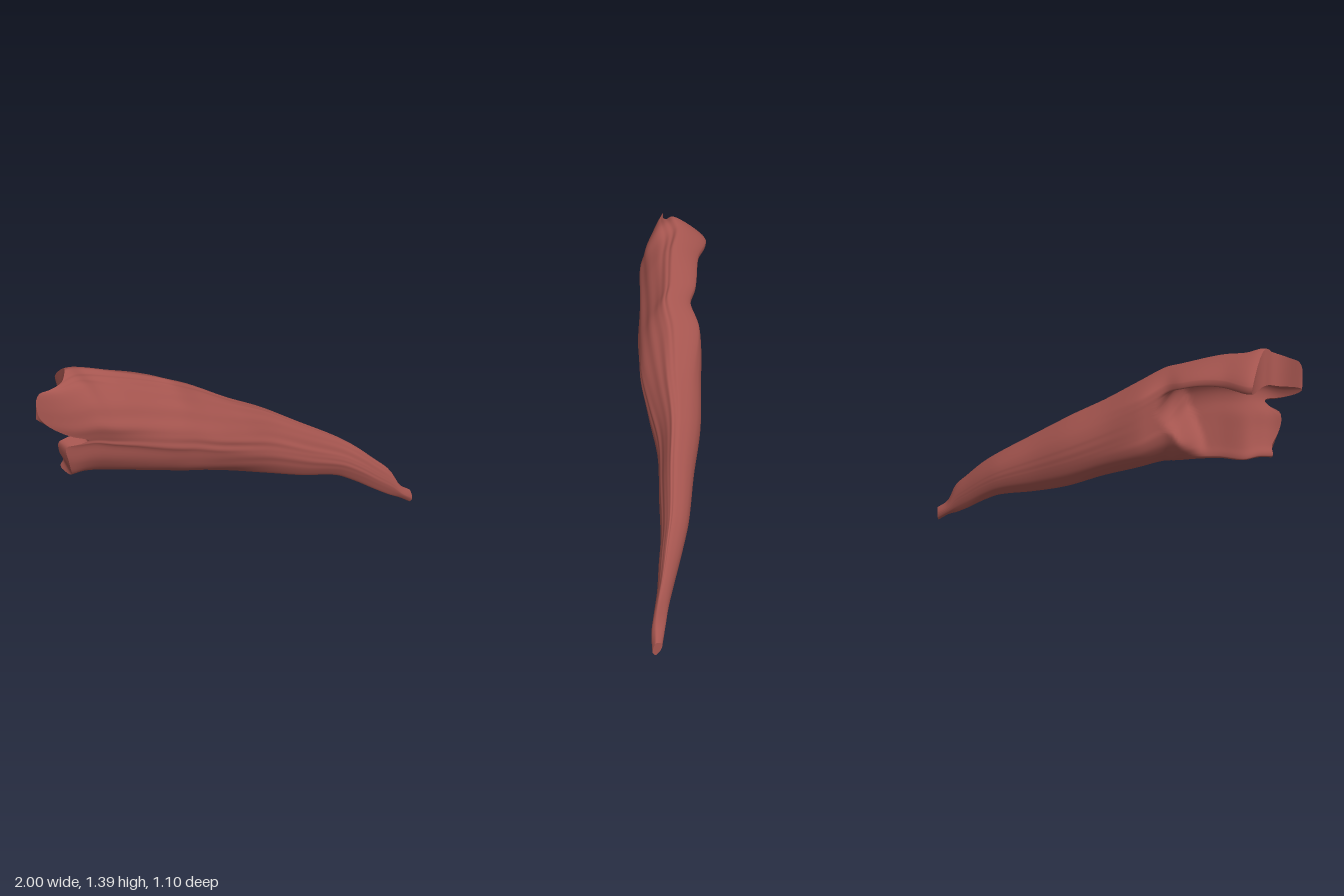
import * as THREE from 'three';

const { lerp, clamp, smoothstep } = THREE.MathUtils;
const K = 6, SIDE = 11, STATIONS = 100;

// Envelope along the length: x, bottom y, top y, back z, front z
const profile = [
  [-1.0, 0.90, 1.37, -0.45, -0.385], [-0.9, 0.82, 1.38, -0.47, -0.26],
  [-0.8, 0.81, 1.40, -0.52, -0.17], [-0.72, 0.785, 1.375, -0.54, -0.125],
  [-0.6, 0.755, 1.335, -0.44, -0.07], [-0.4, 0.69, 1.25, -0.33, 0.02],
  [-0.32, 0.665, 1.21, -0.26, 0.05], [-0.18, 0.61, 1.12, -0.255, 0.1],
  [0.0, 0.535, 0.99, -0.175, 0.135], [0.2, 0.44, 0.86, -0.08, 0.17],
  [0.4, 0.36, 0.71, 0.05, 0.25], [0.6, 0.295, 0.56, 0.17, 0.33],
  [0.7, 0.23, 0.47, 0.25, 0.385], [0.8, 0.15, 0.36, 0.34, 0.44],
  [0.88, 0.09, 0.265, 0.41, 0.495], [0.93, 0.06, 0.155, 0.45, 0.53],
  [1.0, 0.005, 0.09, 0.5, 0.555],
];

// Ragged x of the torn end, from lower lip round the front to upper lip
const tornX = [-0.87, -0.865, -0.9, -0.905, -0.83, -0.97, -1, -0.965, -0.86, -0.81, -0.74];

// Sections as u (back to front), v (bottom to top): outer side, then inner side back down
const hollowEnd = [
  [0.33, 0.03], [0.6, 0], [0.83, 0.17], [0.91, 0.37], [0.93, 0.42], [1, 0.56],
  [0.91, 0.75], [0.66, 0.94], [0.52, 0.96], [0.4, 1], [0, 0.76],
  [0.03, 0.68], [0.25, 0.69], [0.42, 0.68], [0.58, 0.66], [0.72, 0.62],
  [0.76, 0.57], [0.72, 0.48], [0.58, 0.38], [0.49, 0.25], [0.39, 0.12], [0.33, 0.06],
];
const frontWall = [
  [0.42, 0.05], [0.62, 0], [0.88, 0.14], [0.98, 0.32], [1, 0.42], [0.96, 0.54],
  [0.81, 0.72], [0.64, 0.88], [0.52, 0.96], [0.42, 1], [0.02, 0.91],
];
const hollowRim = [
  ...frontWall, [0.02, 0.85], [0.22, 0.84], [0.4, 0.82], [0.53, 0.78], [0.64, 0.71],
  [0.72, 0.62], [0.74, 0.5], [0.68, 0.38], [0.58, 0.25], [0.49, 0.14], [0.43, 0.08],
];
const solidRim = [
  ...frontWall, [0, 0.84], [0, 0.78], [0, 0.72], [0, 0.66], [0, 0.6],
  [0, 0.54], [0, 0.48], [0, 0.4], [0.05, 0.3], [0.16, 0.2], [0.3, 0.11],
];
const solid = [
  [0.5, 0.05], [0.68, 0], [0.92, 0.2], [1, 0.36], [0.98, 0.49], [0.93, 0.62],
  [0.82, 0.8], [0.7, 0.94], [0.6, 0.99], [0.48, 1], [0.22, 0.93],
  [0.09, 0.85], [0.03, 0.78], [0, 0.71], [0, 0.65], [0, 0.59],
  [0.02, 0.53], [0.04, 0.47], [0.09, 0.38], [0.16, 0.29], [0.27, 0.2], [0.4, 0.11],
];

// Smooth interpolation of the envelope at x
function envelope(x) {
  let i = 0;
  while (i < profile.length - 2 && x > profile[i + 1][0]) i++;
  const a = profile[i], b = profile[i + 1];
  const p = profile[Math.max(i - 1, 0)], n = profile[Math.min(i + 2, profile.length - 1)];
  const h = b[0] - a[0], t = clamp((x - a[0]) / h, 0, 1);
  const t2 = t * t, t3 = t2 * t;
  return [1, 2, 3, 4].map((c) => {
    const ma = (b[c] - p[c]) / (b[0] - p[0]), mb = (n[c] - a[c]) / (n[0] - a[0]);
    return (2 * t3 - 3 * t2 + 1) * a[c] + (t3 - 2 * t2 + t) * h * ma
      + (3 * t2 - 2 * t3) * b[c] + (t3 - t2) * h * mb;
  });
}

// Closed smooth ring; its third coordinate carries the torn end
function sampleRing(pts, n) {
  const curve = new THREE.CatmullRomCurve3(pts.map(([u, v], i) =>
    new THREE.Vector3(u, v, tornX[i < SIDE ? i : 2 * SIDE - 1 - i])), true, 'centripetal');
  return Array.from({ length: n }, (_, j) => curve.getPoint(j / n));
}

// Lengthwise fibre ridges, as a relative swelling of the section
function fibres(w, x) {
  const fade = Math.sin(Math.PI * w) * smoothstep(1 - x, 0.02, 0.3);
  const ridges = 0.014 * Math.sin(w * 44 + 2.2 * x) + 0.012 * Math.sin(w * 71 - 3.1 * x + 1)
    + 0.008 * Math.sin(w * 25 + 5 * x + 2);
  const split = -0.03 * Math.exp(-(((w - 0.39) / 0.04) ** 2)) * (1 - smoothstep(x, -0.85, -0.5));
  return fade * (ridges + split);
}

function surface(positions, indices) {
  const g = new THREE.BufferGeometry();
  g.setAttribute('position', new THREE.Float32BufferAttribute(positions, 3));
  g.setIndex(indices);
  g.computeVertexNormals();
  return g;
}

export function createModel() {
  const group = new THREE.Group();
  group.name = 'muscle';
  const red = new THREE.MeshStandardMaterial({ color: 0xa5554f });
  red.name = 'muscle red';

  const n = 2 * SIDE * K;
  const [end, rim, wall, full] = [hollowEnd, hollowRim, solidRim, solid].map((s) => sampleRing(s, n));
  const rings = [];
  for (let i = 0; i <= STATIONS; i++) {
    const ring = [];
    for (let j = 0; j < n; j++) {
      const w = j / ((SIDE - 1) * K);
      const x = lerp(Math.max(end[j].z, -1), 1, i / STATIONS);
      // The wall closing the hollow slants outwards at the bottom
      const slant = 0.13 * (1 - smoothstep(wall[j].y, 0.15, 0.7));
      const p = end[j].clone()
        .lerp(rim[j], smoothstep(x, -0.88, -0.42))
        .lerp(wall[j], smoothstep(x + slant, -0.42, -0.27))
        .lerp(full[j], smoothstep(x, -0.27, 0.2));
      const f = w < 1 ? 1 + fibres(w, x) : 1;
      const u = 0.55 + (p.x - 0.55) * f, v = 0.5 + (p.y - 0.5) * f;
      const [y0, y1, z0, z1] = envelope(x);
      ring.push([x, Math.max(0, lerp(y0, y1, v)), lerp(z0, z1, u)]);
    }
    rings.push(ring);
  }

  // Long fibrous body
  const skin = [];
  for (let i = 0; i < STATIONS; i++) {
    for (let j = 0; j < n; j++) {
      const a = i * n + j, b = i * n + (j + 1) % n, c = a + n, d = b + n;
      skin.push(a, c, b, b, c, d);
    }
  }
  const body = new THREE.Mesh(surface(rings.flat(2), skin), red);
  body.name = 'muscleBody';
  group.add(body);

  // End faces join each outer point to its partner on the inner side
  const addCap = (ring, name, flip) => {
    const idx = [];
    const at = (j) => (j + n) % n;
    const partner = (j) => at((2 * SIDE - 1) * K - j);
    for (let j = -K / 2; j < (SIDE - 0.5) * K; j++) {
      const a = at(j), b = at(j + 1), c = partner(j + 1), d = partner(j);
      for (const t of [[a, b, c], [a, c, d]]) {
        if (new Set(t).size === 3) idx.push(...(flip ? t.reverse() : t));
      }
    }
    const cap = new THREE.Mesh(surface(ring.flat(), idx), red);
    cap.name = name;
    group.add(cap);
  };
  addCap(rings[0], 'tornEnd', false);
  addCap(rings[STATIONS], 'tendonTip', true);

  return group;
}
